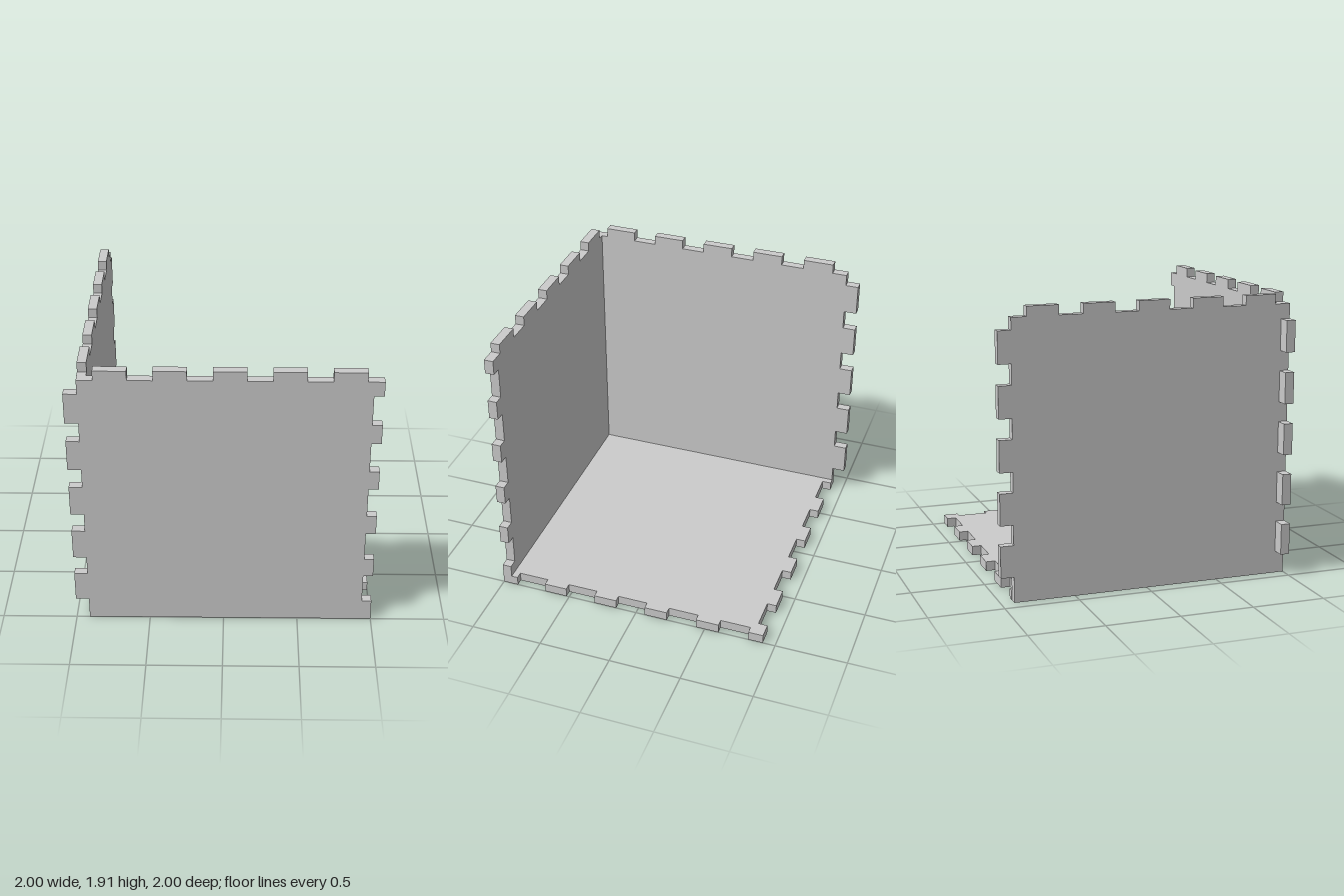
import * as THREE from 'three';

const material = new THREE.MeshStandardMaterial({ color: 0xcccccc, flatShading: true });

// Finger-joint rhythm: starts of the five fingers (or slots) along an edge
const starts = (first, step) => Array.from({ length: 5 }, (_, i) => first + i * step);
const FINGER = 0.212;
const across = starts(-0.81, 0.373); // along x, and z for the floor
const alongZ = starts(-0.803, 0.424 * 0.88);

// Walks an edge at position `base`, stepping to `out` for each finger.
// dir -1 walks it backwards; make(t, v) maps (along, offset) to a 2D point.
function fingers(list, base, out, make, dir = 1) {
  const points = list.flatMap((s) => [
    make(s, base), make(s, out), make(s + FINGER, out), make(s + FINGER, base),
  ]);
  return dir > 0 ? points : points.reverse();
}

const horizontal = (t, v) => new THREE.Vector2(t, v);
const vertical = (t, v) => new THREE.Vector2(v, t);
const point = (x, y) => new THREE.Vector2(x, y);

function panel(name, outline, thickness) {
  const geometry = new THREE.ExtrudeGeometry(new THREE.Shape(outline), {
    depth: thickness, bevelEnabled: false,
  });
  const mesh = new THREE.Mesh(geometry, material);
  mesh.name = name;
  return mesh;
}

export function createModel() {
  const group = new THREE.Group();
  group.name = 'interlockingCornerPanels';

  // Front wall: slots on the right, fingers on the top and left
  const sideRows = starts(0.152, 0.3465);
  const front = panel('frontWall', [
    point(-0.912, 0), point(1, 0),
    ...fingers(sideRows, 1, 0.935, vertical),
    point(1, 1.85),
    ...fingers(across, 1.85, 1.915, horizontal, -1),
    point(-0.912, 1.85),
    ...fingers(sideRows, -0.912, -1, vertical, -1),
  ], 0.063);
  front.position.z = 0.937;
  group.add(front);

  // Side wall: drawn with its local x running towards the back (-z)
  const backRows = starts(0.172, 0.3465);
  const topFingers = starts(-0.893, 0.373);
  const side = panel('sideWall', [
    point(-0.937, 0), point(0.912, 0),
    ...fingers(backRows, 0.912, 1, vertical),
    point(0.912, 1.85),
    ...fingers(topFingers, 1.85, 1.915, horizontal, -1),
    point(-0.937, 1.85),
  ], 0.06);
  side.rotation.y = Math.PI / 2;
  side.position.x = -0.914;
  group.add(side);

  // Floor: local y runs towards the back, slots on the right and back edges
  const rightSlots = starts(-0.893, 0.373);
  const floor = panel('floor', [
    point(-0.854, -0.937), point(1, -0.937),
    ...fingers(rightSlots, 1, 0.95, vertical),
    point(1, 0.914),
    ...fingers(across, 0.914, 0.85, horizontal, -1),
    point(-0.854, 0.914),
  ], 0.065);
  floor.rotation.x = -Math.PI / 2;
  group.add(floor);

  return group;
}
